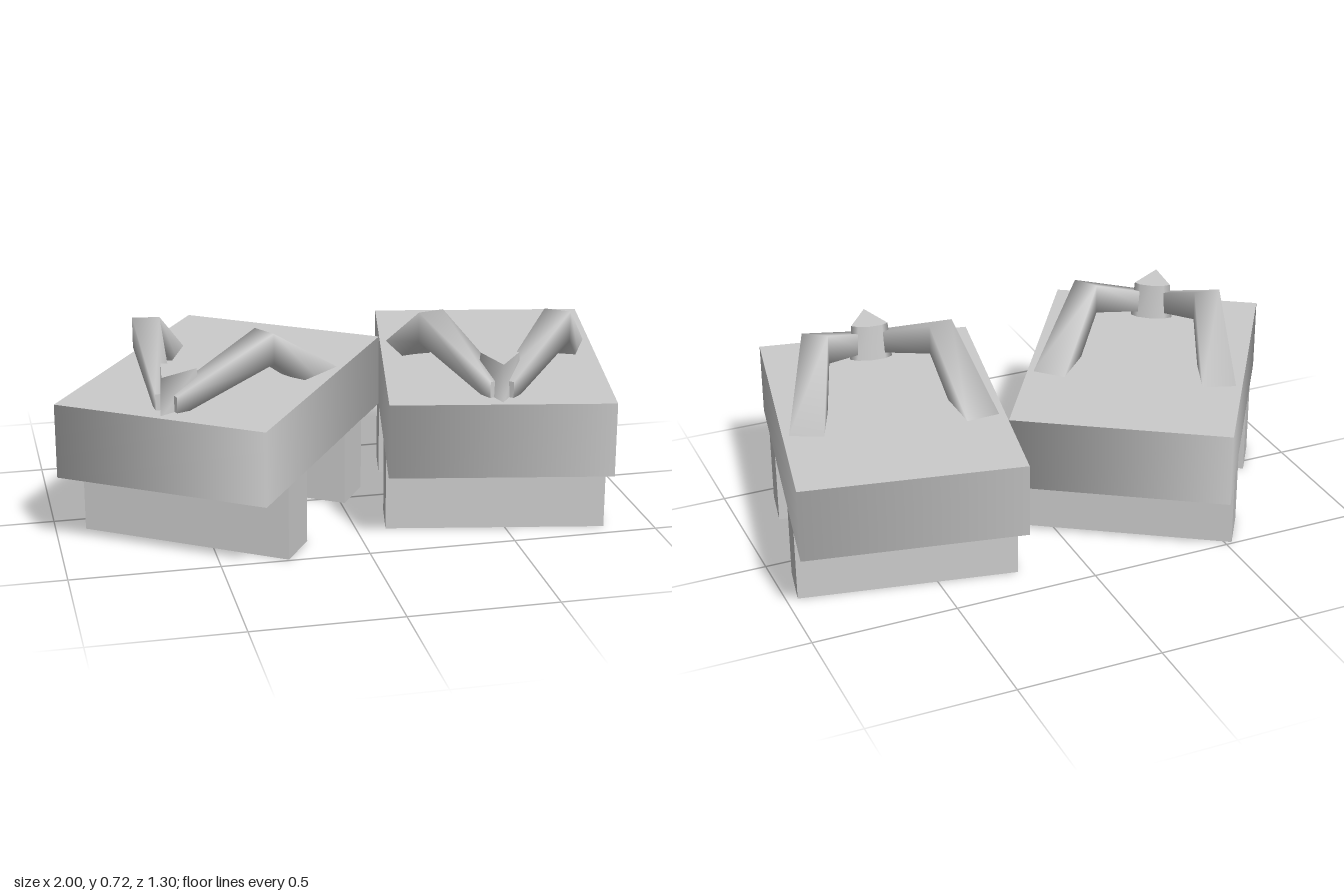
import * as THREE from 'three';

const material = new THREE.MeshStandardMaterial({ color: 0xcccccc });
const V = (x, y, z) => new THREE.Vector3(x, y, z);

function add(group, name, geometry) {
  const mesh = new THREE.Mesh(geometry, material);
  mesh.name = name;
  group.add(mesh);
  return mesh;
}

// Smooth-sided skin through rings (counterclockwise around the path), with flat end caps
function loft(rings) {
  const n = rings[0].length;
  const points = [...rings, rings[0], rings[rings.length - 1]].flat();
  const index = [];
  for (let i = 0; i < rings.length - 1; i++) {
    for (let j = 0; j < n; j++) {
      const a = i * n + j, b = i * n + (j + 1) % n;
      index.push(a, b, b + n, a, b + n, a + n);
    }
  }
  const start = rings.length * n, end = start + n;
  for (let j = 1; j < n - 1; j++) {
    index.push(start, start + j + 1, start + j, end, end + j, end + j + 1);
  }
  const geometry = new THREE.BufferGeometry().setFromPoints(points);
  geometry.setIndex(index);
  geometry.computeVertexNormals();
  return geometry;
}

// Four-sided bent arm: rises from the hub to an elbow and drops into the slab
function armGeometry(side) {
  const path = [V(side * 0.015, 0.53, 0.45), V(side * 0.215, 0.664, 0.155), V(side * 0.295, 0.455, -0.173)];
  const widths = [0.028, 0.046, 0.058];
  const heights = [0.035, 0.052, 0.055];
  const up = V(0, 1, 0);
  return loft(path.map((p, i) => {
    const before = path[Math.max(i - 1, 0)], after = path[Math.min(i + 1, 2)];
    const along = after.clone().sub(before).setY(0).normalize();
    const across = up.clone().cross(along);
    return [[-1, -1], [1, -1], [1, 1], [-1, 1]].map(([s, u]) =>
      p.clone().addScaledVector(across, s * widths[i]).addScaledVector(up, u * heights[i]));
  }));
}

// Wedge hub: pointed at the front, rounded at the back, flaring to the bottom
function hubGeometry() {
  const plan = [[0, 0.08], [0.064, -0.05], [0.042, -0.064], [0, -0.07], [-0.042, -0.064], [-0.064, -0.05]];
  const ring = (y, s) => plan.map(([x, z]) => V(x * s, y, 0.415 + z * s));
  return loft([ring(0.5, 1.18), ring(0.635, 1)]);
}

function createPlatform(name, x, z, turn) {
  const group = new THREE.Group();
  group.name = name;
  group.position.set(x, 0, z);
  group.rotation.y = turn;

  // Slab: four-sided cylinder gives the softly shaded walls
  const slab = new THREE.CylinderGeometry(Math.SQRT1_2, Math.SQRT1_2, 1, 4);
  slab.rotateY(Math.PI / 4);
  slab.scale(0.746, 0.255, 1.06);
  add(group, 'slab', slab).position.y = 0.3825;

  // Runners underneath
  for (const s of [1, -1]) {
    add(group, s > 0 ? 'frontRunner' : 'backRunner', new THREE.BoxGeometry(0.746, 0.256, 0.165))
      .position.set(0, 0.128, s * 0.263);
  }

  // Hub and pair of bent arms on top
  add(group, 'hub', hubGeometry());
  for (const s of [1, -1]) add(group, s > 0 ? 'leftArm' : 'rightArm', armGeometry(s));
  return group;
}

export function createModel() {
  const model = new THREE.Group();
  model.name = 'platformPair';
  model.add(createPlatform('rightPlatform', -0.398, 0, -0.575));
  model.add(createPlatform('leftPlatform', 0.531, 0.035, -0.189));
  return model;
}
